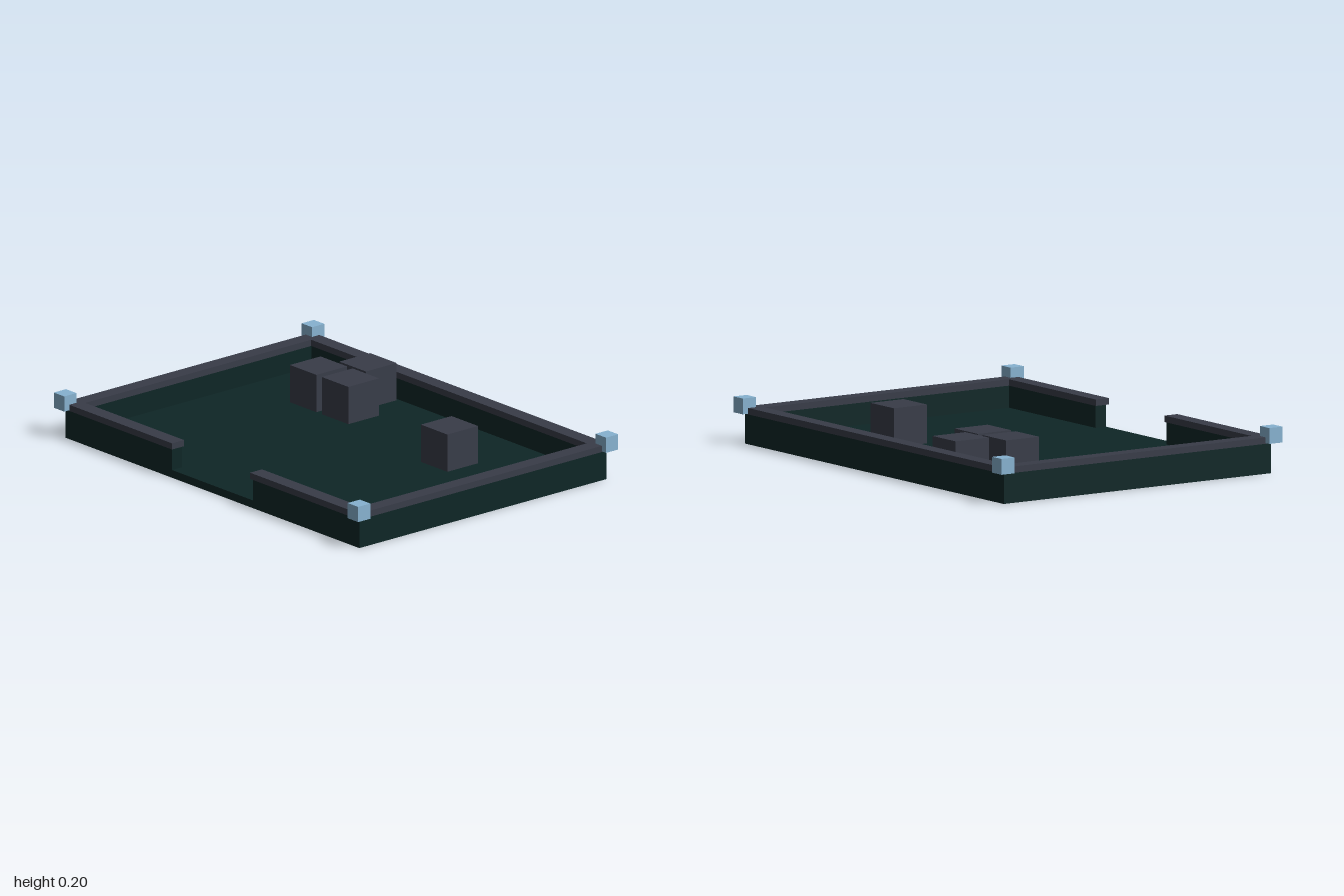
import * as THREE from 'three';

export function createModel() {
  const model = new THREE.Group();
  const mat = (name, color) => Object.assign(new THREE.MeshStandardMaterial({ color }), { name });
  const darkTeal = mat('darkTeal', 0x0e2626);
  const slate = mat('slate', 0x383c48);
  const paleBlue = mat('paleBlue', 0x87b2d0);

  // Box given by its lower and upper limits on each axis
  const box = (name, material, [x0, x1], [y0, y1], [z0, z1]) => {
    const mesh = new THREE.Mesh(new THREE.BoxGeometry(x1 - x0, y1 - y0, z1 - z0), material);
    mesh.position.set((x0 + x1) / 2, (y0 + y1) / 2, (z0 + z1) / 2);
    mesh.name = name;
    model.add(mesh);
  };

  const W = 0.965, D = 0.7, floorY = 0.035, wallY = 0.132, trimY = 0.16;
  const wall = 0.055;                    // wall thickness
  const out = 0.008;                     // trim overhang
  const inner = wall + 0.005;            // trim reach inwards

  box('floor', darkTeal, [-W, W], [0, floorY], [-D, D]);

  // Back wall with its coping
  box('backWall', darkTeal, [-W, W], [floorY, wallY], [-D, -D + wall]);
  box('backTrim', slate, [-W - out, W + out], [wallY, trimY], [-D - out, -D + inner]);

  for (const [side, s] of [['left', 1], ['right', -1]]) {
    const span = (a, b) => (s > 0 ? [a, b] : [-b, -a]);
    // Side walls
    box(side + 'Wall', darkTeal, span(W - wall, W), [floorY, wallY], [-D + wall, D - wall]);
    box(side + 'Trim', slate, span(W - inner, W + out), [wallY, trimY], [-D + inner, D - inner]);
    // Front walls either side of the entrance
    box(side + 'FrontWall', darkTeal, span(0.265, W), [floorY, wallY], [D - wall, D]);
    box(side + 'FrontTrim', slate, span(0.256, W + out), [wallY, trimY], [D - inner, D + out]);
    // Corner lamps
    for (const [end, e] of [['Front', 1], ['Back', -1]]) {
      const z = e * 0.702, r = 0.0345;
      box(side + end + 'CornerLamp', paleBlue, span(0.931, 1), [0.135, 0.204], [z - r, z + r]);
    }
  }

  // Crates standing on the floor
  const crates = [[-0.423, -0.546], [-0.528, -0.356], [-0.318, -0.356], [0.437, -0.266]];
  const h = 0.087;
  crates.forEach(([x, z], i) =>
    box('crate' + (i + 1), slate, [x - h, x + h], [floorY, 0.204], [z - h, z + h]));

  return model;
}
